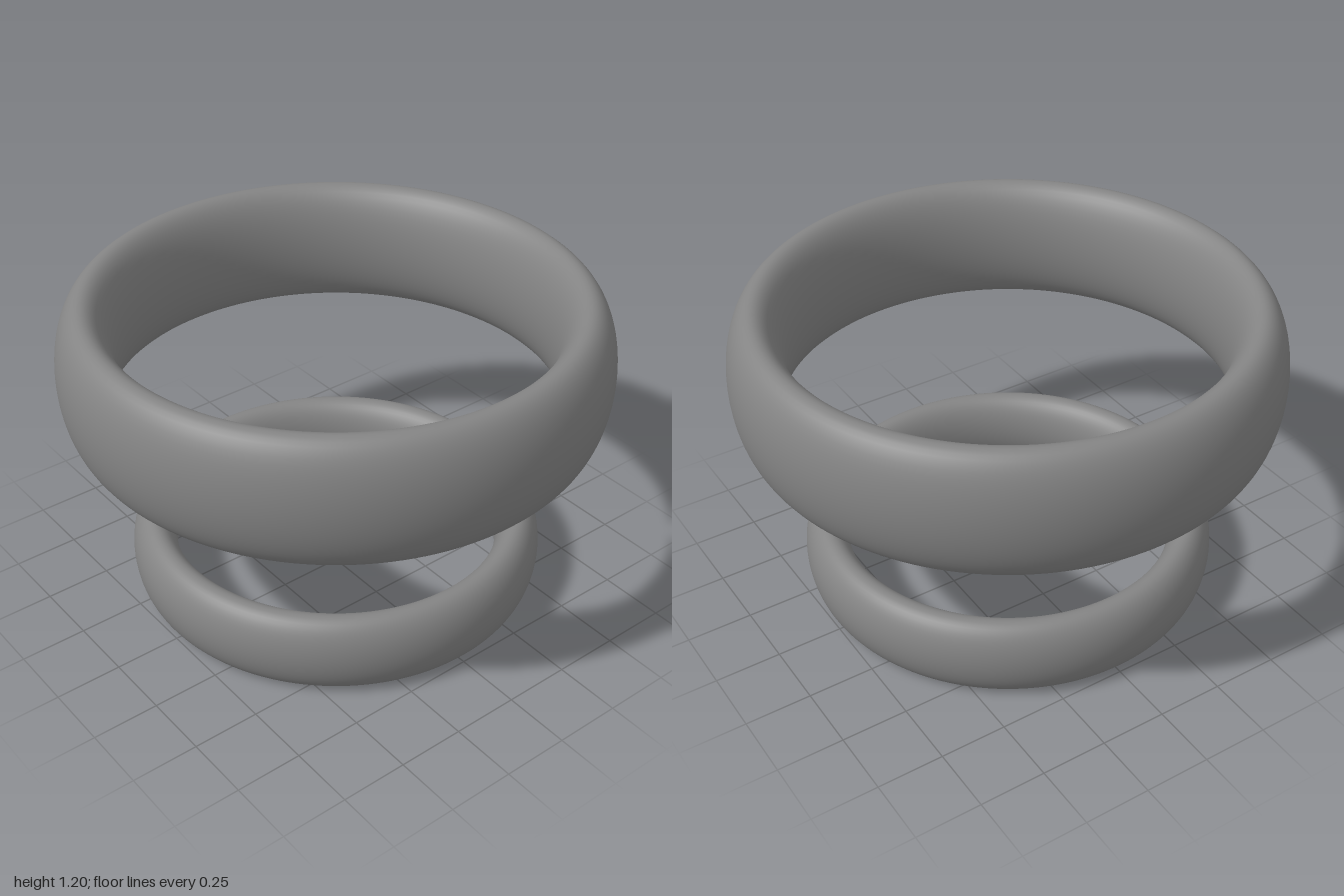
import * as THREE from 'three';

// Smooth ring lying flat, with an upright elliptical cross-section
function makeRing(name, inner, outer, bottom, top, material) {
  const tube = (outer - inner) / 2;
  const geometry = new THREE.TorusGeometry((inner + outer) / 2, tube, 48, 160);
  geometry.rotateX(Math.PI / 2);
  geometry.scale(1, (top - bottom) / (2 * tube), 1);
  geometry.translate(0, (top + bottom) / 2, 0);
  const ring = new THREE.Mesh(geometry, material);
  ring.name = name;
  return ring;
}

export function createModel() {
  const model = new THREE.Group();
  model.name = 'ringPair';
  const material = new THREE.MeshStandardMaterial({ color: 0x848484 });

  // Large ring floating above the small one
  model.add(makeRing('upperRing', 0.786, 1.0, 0.712, 1.203, material));
  model.add(makeRing('lowerRing', 0.613, 0.78, 0, 0.307, material));
  return model;
}
